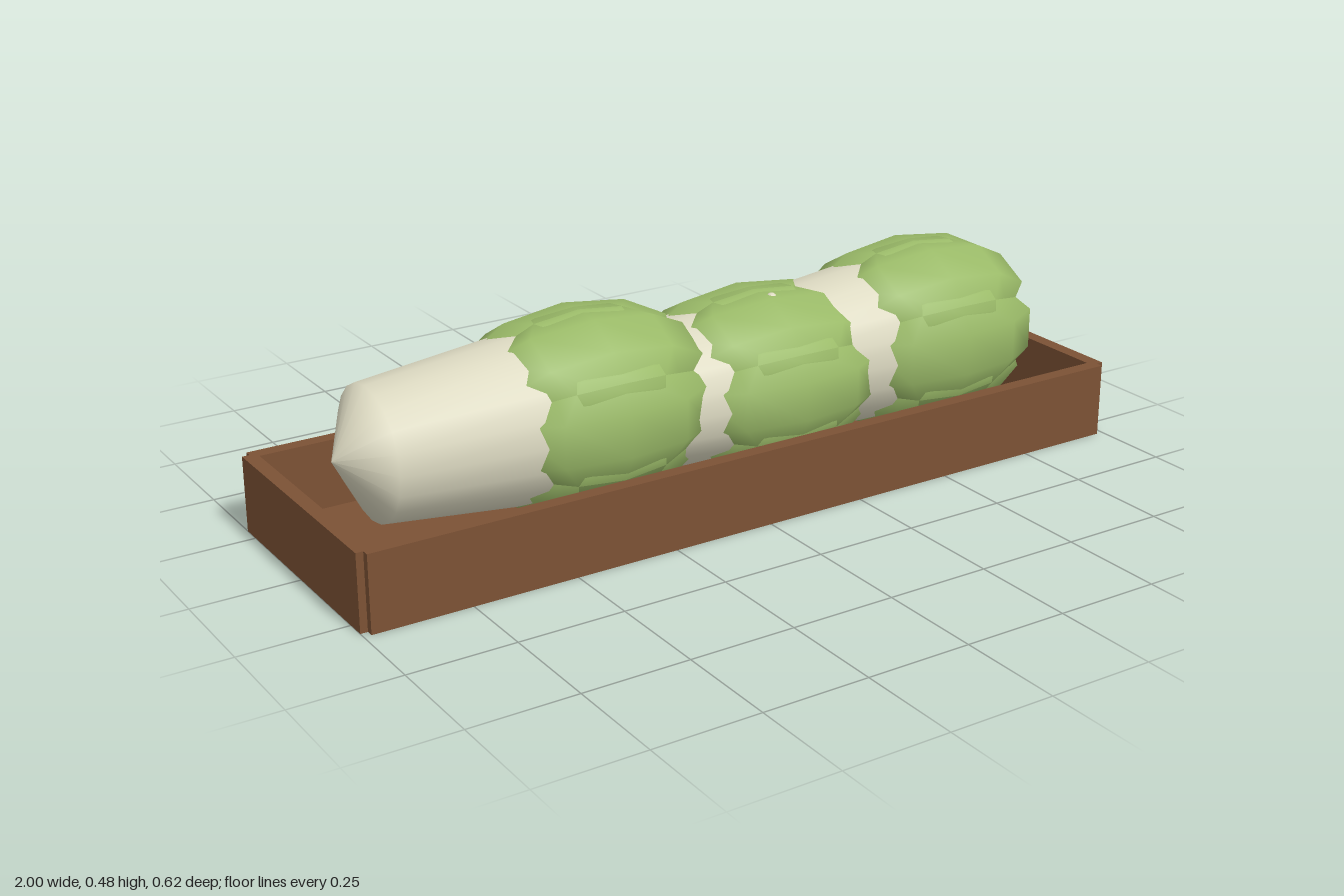
import * as THREE from 'three';

export function createModel() {
  const model = new THREE.Group();
  model.name = 'rootsInTray';

  const wood = new THREE.MeshStandardMaterial({ name: 'brownWood', color: 0x7c5235 });
  const leaf = new THREE.MeshStandardMaterial({ name: 'leafGreen', color: 0x9aba68 });
  const cream = new THREE.MeshStandardMaterial({ name: 'cream', color: 0xdddac2 });

  const add = (parent, name, geometry, material, x, y, z) => {
    const mesh = new THREE.Mesh(geometry, material);
    mesh.name = name;
    mesh.position.set(x, y, z);
    parent.add(mesh);
    return mesh;
  };

  // Shallow tray: floor, two long walls and two slightly proud end walls
  const tray = new THREE.Group();
  tray.name = 'tray';
  model.add(tray);
  add(tray, 'floor', new THREE.BoxGeometry(1.96, 0.018, 0.59), wood, 0, 0.009, 0);
  for (const s of [-1, 1]) {
    add(tray, 'longWall', new THREE.BoxGeometry(1.966, 0.18, 0.034), wood, 0, 0.09, s * 0.295);
    add(tray, 'endWall', new THREE.BoxGeometry(0.034, 0.18, 0.59), wood, s * 0.983, 0.09, 0);
  }

  // Tapered core, turned around the long axis
  const profile = [[0, -0.605], [0.155, -0.52], [0.211, 0], [0.15, 0.21], [0, 0.28]];
  const coreGeometry = new THREE.LatheGeometry(profile.map(([r, l]) => new THREE.Vector2(r, l)), 20);
  coreGeometry.rotateZ(-Math.PI / 2);

  // Long faceted lobe: +z points outwards, y runs around the core
  const lobeGeometry = new THREE.SphereGeometry(1, 10, 5, Math.PI / 2);
  lobeGeometry.scale(0.277, 0.16, 0.1104);
  lobeGeometry.translate(0, 0, 0.123);

  // Three overlapping pieces in a row, the middle one a little flatter
  const pieces = [[-0.31, 1], [0.16, 0.92], [0.63, 1]];
  for (const [x, scaleY] of pieces) {
    const piece = new THREE.Group();
    piece.name = 'root';
    piece.position.set(x, 0.252 * scaleY, 0);
    piece.scale.y = scaleY;
    model.add(piece);
    add(piece, 'core', coreGeometry, cream, 0, 0, 0);
    for (let i = 0; i < 6; i++) {
      add(piece, 'lobe', lobeGeometry, leaf, 0, 0, 0).rotation.x = (i * Math.PI) / 3;
    }
  }

  // Small pale bead on the middle piece
  add(model, 'bead', new THREE.SphereGeometry(0.014, 12, 8), cream, 0.18, 0.426, 0.045);

  return model;
}
